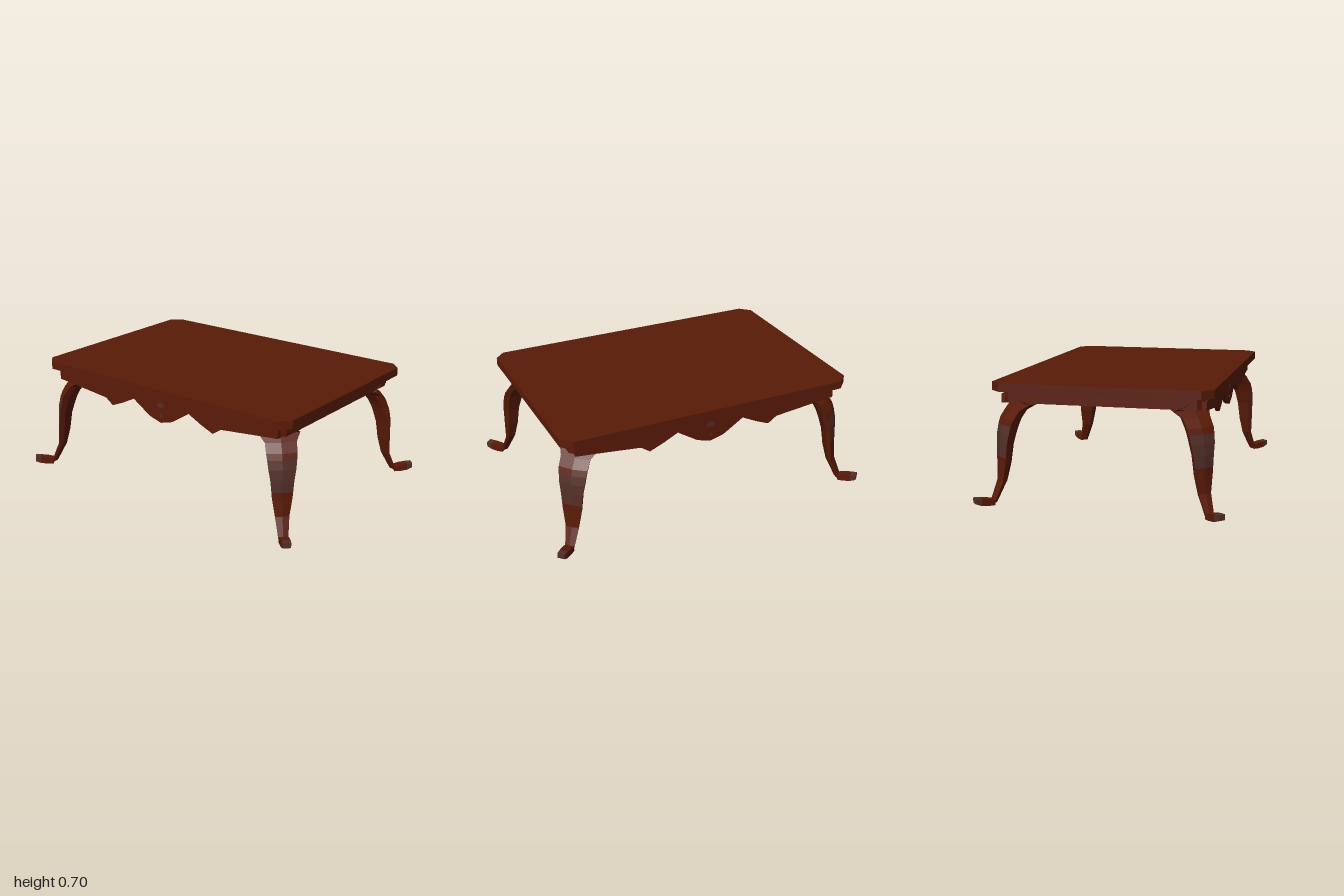
import * as THREE from 'three';

const wood = new THREE.MeshStandardMaterial({ color: 0x5a1b07 });
wood.name = 'redBrownWood';
const worn = new THREE.MeshStandardMaterial({ color: 0x532f27 });
worn.name = 'greyBrownWood';

function add(parent, name, geometry, material) {
  const mesh = new THREE.Mesh(geometry, material);
  mesh.name = name;
  parent.add(mesh);
  return mesh;
}

// Rectangular slab with cut corners, lying flat between y0 and y1
function slab(hx, hz, cut, y0, y1) {
  const pts = [
    [hx - cut, -hz], [hx, -hz + cut], [hx, hz - cut], [hx - cut, hz],
    [-hx + cut, hz], [-hx, hz - cut], [-hx, -hz + cut], [-hx + cut, -hz],
  ];
  const shape = new THREE.Shape(pts.map(([x, z]) => new THREE.Vector2(x, z)));
  const g = new THREE.ExtrudeGeometry(shape, { depth: y1 - y0, bevelEnabled: false });
  return g.rotateX(-Math.PI / 2).translate(0, y0, 0);
}

// Scalloped board, profile given for one half and mirrored
function valance() {
  const half = [[0.085, 0.497], [0.21, 0.577], [0.305, 0.53], [0.385, 0.497],
    [0.44, 0.535], [0.695, 0.562], [0.83, 0.575], [0.83, 0.625]];
  const pts = [[0, 0.473], ...half, ...half.map(([x, y]) => [-x, y]).reverse()];
  const shape = new THREE.Shape(pts.map(([x, y]) => new THREE.Vector2(x, y)));
  return new THREE.ExtrudeGeometry(shape, { depth: 0.025, bevelEnabled: false });
}

// Flat-faced loft between rings; paint(row, side) picks the material
function loft(rings, flip, paint) {
  const buckets = [[], []];
  const tri = (m, a, b, c) => buckets[m].push(...a, ...(flip ? [...c, ...b] : [...b, ...c]));
  const n = rings[0].length;
  for (let i = 0; i < rings.length - 1; i++) {
    for (let j = 0; j < n; j++) {
      const k = (j + 1) % n, m = paint(i, j);
      const [a, b, c, d] = [rings[i][j], rings[i][k], rings[i + 1][k], rings[i + 1][j]];
      tri(m, a, b, c);
      tri(m, a, c, d);
    }
  }
  const last = rings.length - 1;
  for (let j = 1; j < n - 1; j++) {
    tri(paint(-1, j), rings[0][0], rings[0][j + 1], rings[0][j]);
    tri(paint(last, j), rings[last][0], rings[last][j], rings[last][j + 1]);
  }
  const g = new THREE.BufferGeometry();
  g.setAttribute('position', new THREE.Float32BufferAttribute(buckets.flat(), 3));
  g.addGroup(0, buckets[0].length / 3, 0);
  g.addGroup(buckets[0].length / 3, buckets[1].length / 3, 1);
  g.computeVertexNormals();
  return g;
}

// Curved leg: height, inner x, outer x; z follows x at a fixed offset
const LEG = [
  [0.615, 0.78, 0.85], [0.57, 0.665, 0.858], [0.535, 0.726, 0.873], [0.485, 0.754, 0.898],
  [0.45, 0.768, 0.905], [0.40, 0.782, 0.91], [0.34, 0.797, 0.908], [0.27, 0.806, 0.906],
  [0.235, 0.81, 0.905], [0.13, 0.833, 0.90], [0.015, 0.88, 0.926],
];
// Section: round the outside over a shallow ridge, then the inner ridge
const SECTION = [[0.75, 0], [1, 0.15], [0.64, 0.64], [0.15, 1], [0, 0.75], [0.1, 0.1]];

function leg(sx, sz) {
  const rings = LEG.map(([y, xi, xo]) => SECTION.map(([u, v]) => [
    sx * (xi + u * (xo - xi)), y, sz * (xi - 0.283 + v * (xo - xi)),
  ]));
  const paint = (i, j) => (i >= 4 && i < 7 && (j === 1 || j === 2) ? 1 : 0);
  return loft(rings, sx * sz < 0, paint);
}

// Foot: distance along the diagonal, bottom, top, half width
const FOOT = [
  [0, 0, 0.03, 0.027], [0.035, 0, 0.04, 0.027], [0.08, 0.005, 0.047, 0.025], [0.114, 0.018, 0.05, 0.022],
];

function foot(sx, sz) {
  const r = Math.SQRT1_2;
  const rings = FOOT.map(([t, y0, y1, w]) => [[-w, y0], [w, y0], [w, y1], [-w, y1]].map(([s, y]) => [
    sx * (0.903 + (t + s) * r), y, sz * (0.619 + (t - s) * r),
  ]));
  const paint = (i) => (i >= 2 ? 1 : 0);
  return loft(rings, sx * sz < 0, paint);
}

export function createModel() {
  const table = new THREE.Group();
  table.name = 'lowTable';

  // Top and the closed frame beneath it
  add(table, 'tableTop', slab(0.913, 0.63, 0.06, 0.648, 0.696), wood);
  add(table, 'frame', slab(0.85, 0.572, 0.036, 0.578, 0.648), wood);

  // Scalloped boards with small inlays, front and back
  for (const [name, turn] of [['front', 0], ['back', Math.PI]]) {
    const side = new THREE.Group();
    side.name = name + 'Valance';
    side.rotation.y = turn;
    add(side, 'scallopedBoard', valance(), wood).position.z = 0.56;
    for (const [y, w, h] of [[0.582, 0.028, 0.016], [0.515, 0.01, 0.012]]) {
      const inlay = add(side, 'inlay', new THREE.CylinderGeometry(1, 1, 1, 8).rotateX(Math.PI / 2), worn);
      inlay.scale.set(w, h, 0.003);
      inlay.position.set(0, y, 0.5855);
    }
    table.add(side);
  }

  // Four corner legs
  for (const sx of [1, -1]) {
    for (const sz of [1, -1]) {
      const corner = new THREE.Group();
      corner.name = (sz > 0 ? 'front' : 'back') + (sx > 0 ? 'Left' : 'Right') + 'Leg';
      add(corner, 'curvedLeg', leg(sx, sz), [wood, worn]);
      add(corner, 'foot', foot(sx, sz), [wood, worn]);
      table.add(corner);
    }
  }
  return table;
}
